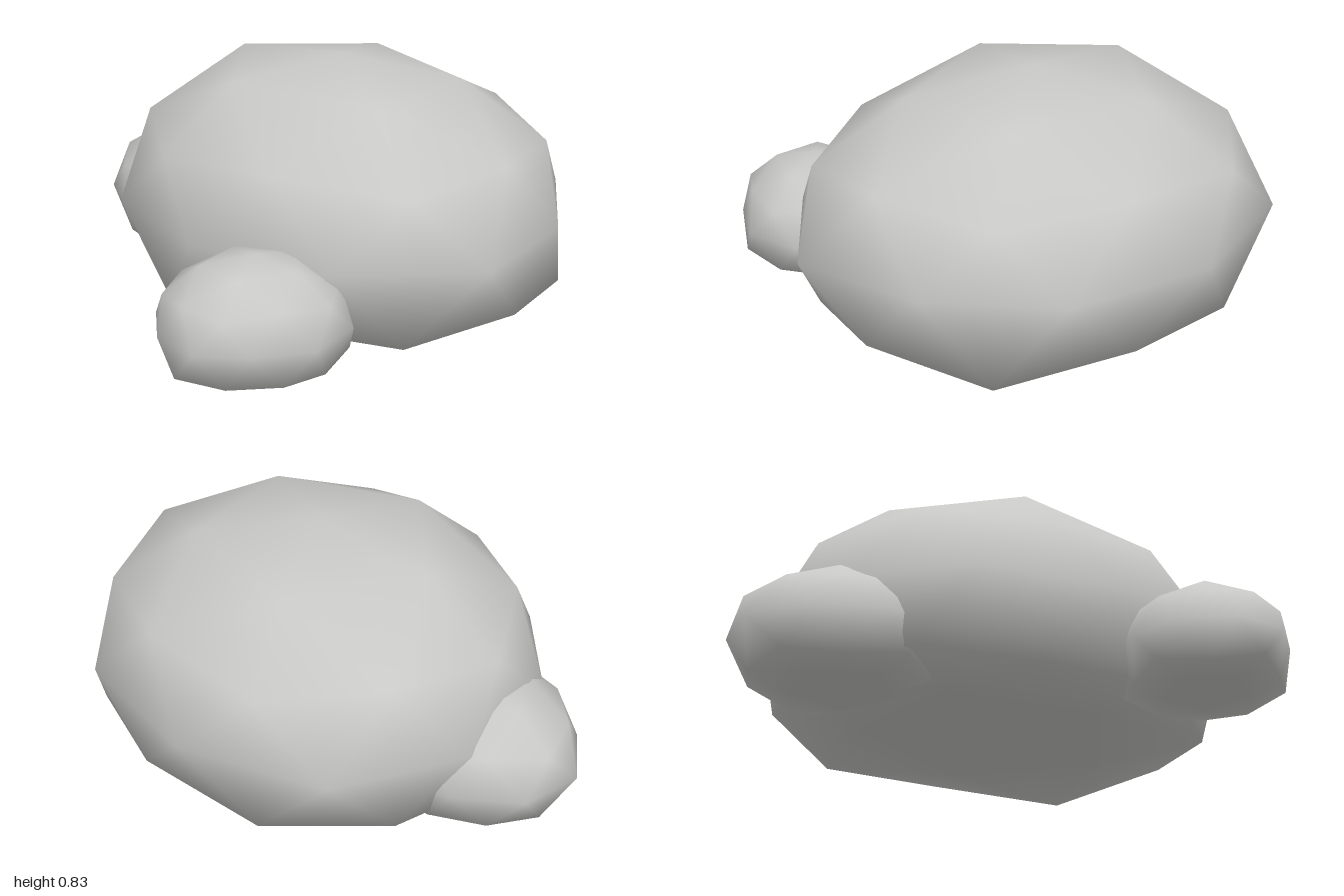
import * as THREE from 'three';
import { mergeVertices } from 'three/addons/utils/BufferGeometryUtils.js';

// Boulder: a subdivided icosahedron standing on a corner, its ten-sided equator
// stretched onto an outline of [x, z] points and its underside flattened on the ground.
// foot widens the corner and edge points under the equator; drop deepens the underside;
// bulges are [azimuth, height, push] for single points that stick out.
function boulderGeometry({ centre, midY, halfHeight, drop = halfHeight, outline, foot = [1, 1], bulges = [] }) {
  let geometry = new THREE.IcosahedronGeometry(1, 1);
  geometry.deleteAttribute('uv');
  geometry.deleteAttribute('normal');
  geometry = mergeVertices(geometry, 1e-4);

  const golden = (1 + Math.sqrt(5)) / 2;
  const corner = new THREE.Vector3(-1, golden, 0).normalize();
  geometry.applyQuaternion(
    new THREE.Quaternion().setFromUnitVectors(corner, new THREE.Vector3(0, 1, 0)));

  const knobs = bulges.map(([azimuth, y, push]) => {
    const angle = THREE.MathUtils.degToRad(azimuth);
    const h = Math.sqrt(1 - y * y);
    return { push, direction: new THREE.Vector3(h * Math.cos(angle), y, h * Math.sin(angle)) };
  });

  const position = geometry.attributes.position;
  const v = new THREE.Vector3();
  for (let i = 0; i < position.count; i++) {
    v.fromBufferAttribute(position, i);
    // Find the place on the outline that lies in this vertex's direction
    const step = (THREE.MathUtils.radToDeg(Math.atan2(v.z, v.x)) - 18) / 36;
    const t = (step + 20) % 10;
    const k = Math.floor(t);
    const f = t - k;
    const a = outline[k % 10];
    const b = outline[(k + 1) % 10];
    const round = 1 + 0.051 * 4 * f * (1 - f);
    const widen = v.y > -0.1 ? 1 : v.y > -0.5 ? foot[0] : foot[1];
    const knob = knobs.find(({ direction }) => direction.dot(v) > 0.96);
    const grow = 1 + (knob ? knob.push : 0);
    const spread = Math.hypot(v.x, v.z) * round * widen * grow;
    position.setXYZ(i,
      centre[0] + (a[0] + (b[0] - a[0]) * f - centre[0]) * spread,
      Math.max(0, midY + v.y * grow * (v.y < 0 ? drop : halfHeight)),
      centre[1] + (a[1] + (b[1] - a[1]) * f - centre[1]) * spread);
  }
  geometry.computeVertexNormals();
  return geometry;
}

const boulders = {
  largeBoulder: {
    centre: [0.14, 0.07], midY: 0.305, halfHeight: 0.53, drop: 0.565, foot: [1.02, 1.04],
    bulges: [[72, -0.526, 0.1], [216, 0.85, 0.045], [288, 0.85, 0.045]],
    outline: [[0.925, -0.05], [0.845, 0.505], [0.485, 0.855], [0.01, 1], [-0.425, 0.69],
      [-0.625, 0.18], [-0.54, -0.36], [-0.22, -0.71], [0.25, -0.79], [0.715, -0.58]],
  },
  frontSmallBoulder: {
    centre: [-0.6, 0.51], midY: 0.135, halfHeight: 0.243, drop: 0.253, foot: [1.07, 0.98],
    outline: [[-0.925, 0.6], [-0.925, 0.41], [-0.81, 0.24], [-0.62, 0.19], [-0.42, 0.24],
      [-0.29, 0.41], [-0.28, 0.6], [-0.38, 0.76], [-0.59, 0.825], [-0.79, 0.73]],
  },
  backSmallBoulder: {
    centre: [0.01, -0.6], midY: 0.16, halfHeight: 0.27, drop: 0.285, foot: [1, 0.97],
    outline: [[0.16, -0.97], [0.32, -0.77], [0.39, -0.55], [0.29, -0.35], [0.08, -0.22],
      [-0.16, -0.25], [-0.32, -0.4], [-0.36, -0.6], [-0.26, -0.84], [-0.07, -1]],
  },
};

export function createModel() {
  const group = new THREE.Group();
  group.name = 'boulderCluster';
  const stone = new THREE.MeshStandardMaterial({ color: 0xc8c8c6 });
  stone.name = 'grey stone';
  for (const [name, shape] of Object.entries(boulders)) {
    const mesh = new THREE.Mesh(boulderGeometry(shape), stone);
    mesh.name = name;
    group.add(mesh);
  }
  return group;
}
